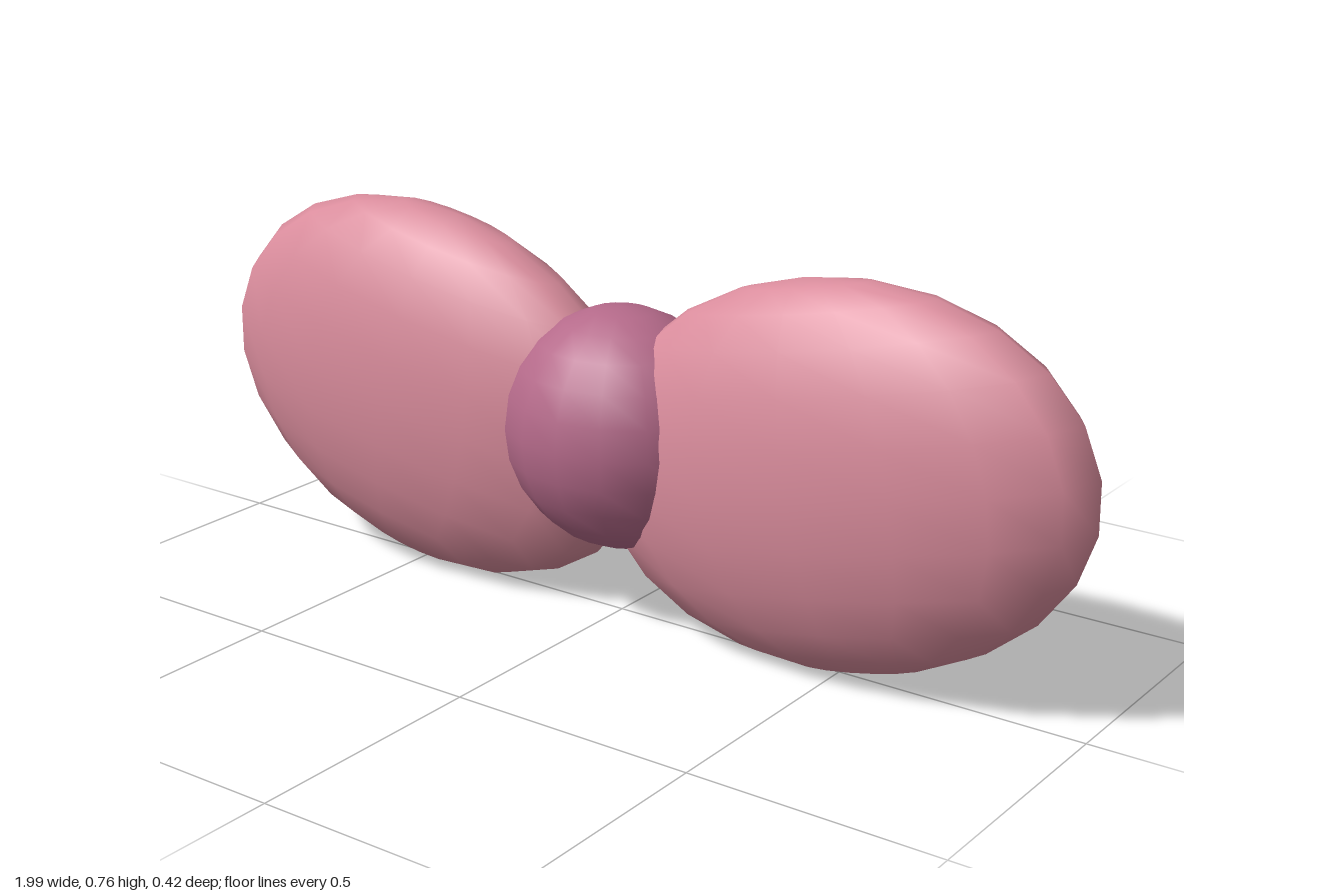
import * as THREE from 'three';

export function createModel() {
  const group = new THREE.Group();
  const sphere = new THREE.SphereGeometry(1, 16, 12);

  const addEllipsoid = (name, color, position, radii, tilt = 0) => {
    const mesh = new THREE.Mesh(sphere, new THREE.MeshStandardMaterial({ color }));
    mesh.name = name;
    mesh.position.set(...position);
    mesh.scale.set(...radii);
    mesh.rotation.z = tilt;
    group.add(mesh);
  };

  // Two flattened bow loops, mirrored and tilted up at their outer ends
  for (const side of [1, -1]) {
    addEllipsoid(side > 0 ? 'leftLoop' : 'rightLoop', 0xd98c9c,
      [side * 0.475, 0.384, 0], [0.53, 0.372, 0.168], side * 0.2);
  }

  // Rounded centre knot
  addEllipsoid('knot', 0xb56a8a, [0, 0.387, 0], [0.24, 0.24, 0.212]);

  return group;
}
